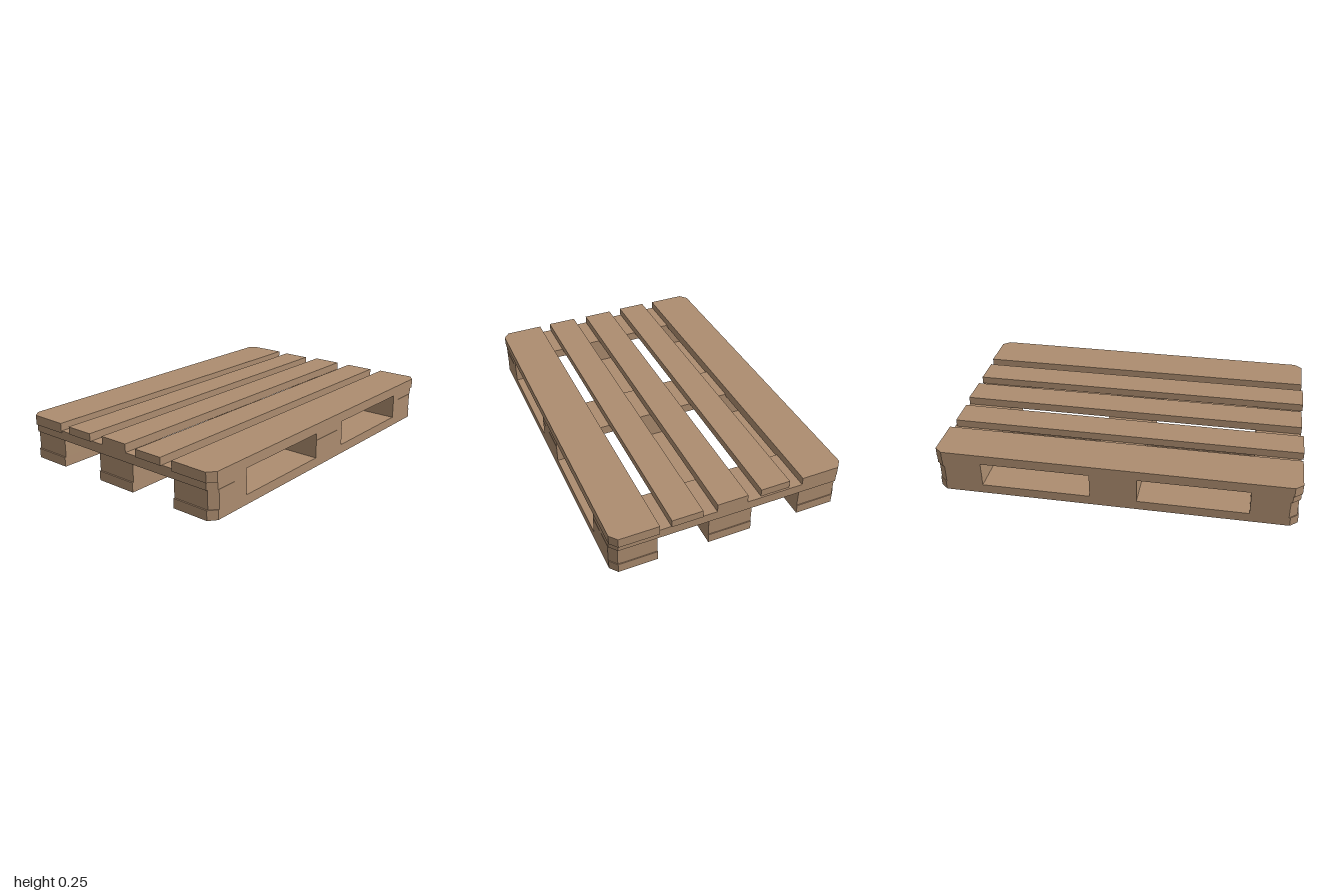
import * as THREE from 'three';

// Plank from a plan outline; corners at the pallet's outer corners are clipped.
function plank(name, [x0, x1], [y0, y1], [z0, z1], material) {
  const pts = [];
  const corners = [[x0, z1], [x1, z1], [x1, z0], [x0, z0]];
  corners.forEach(([x, z], i) => {
    if (Math.abs(x) > 0.9 && Math.abs(z) > 0.6) {
      const a = [x - Math.sign(x) * 0.042, z];
      const b = [x, z - Math.sign(z) * 0.035];
      pts.push(...(i % 2 ? [a, b] : [b, a]));
    } else pts.push([x, z]);
  });
  const shape = new THREE.Shape(pts.map(([x, z]) => new THREE.Vector2(x, -z)));
  const geo = new THREE.ExtrudeGeometry(shape, { depth: y1 - y0, bevelEnabled: false });
  geo.rotateX(-Math.PI / 2).translate(0, y0, 0);
  const mesh = new THREE.Mesh(geo, material);
  mesh.name = name;
  return mesh;
}

export function createModel() {
  const pallet = new THREE.Group();
  pallet.name = 'pallet';
  const wood = new THREE.MeshStandardMaterial({ color: 0xad8d70 });
  wood.name = 'wood';

  // Top deck boards, each cut to a slightly different length
  const deck = [
    [[-0.995, 0.985], [0.195, 0.25], [-0.66, -0.41]],
    [[-1.0, 0.975], [0.207, 0.25], [-0.337, -0.17]],
    [[-0.99, 0.985], [0.207, 0.253], [-0.088, 0.085]],
    [[-1.0, 0.99], [0.207, 0.25], [0.167, 0.338]],
    [[-0.995, 1.0], [0.195, 0.25], [0.407, 0.66]],
  ];
  deck.forEach((d, i) => pallet.add(plank(`deckBoard${i + 1}`, ...d, wood)));

  const columns = [[-0.99, -0.735], [-0.132, 0.125], [0.727, 0.985]];
  const rows = [[-0.655, -0.402], [-0.12, 0.126], [0.409, 0.658]];

  // Cross boards under the deck
  columns.forEach((x, i) =>
    pallet.add(plank(`crossBoard${i + 1}`, x, [0.155, 0.207], [-0.657, 0.657], wood)));

  // Bottom runners with three spacer blocks on each
  rows.forEach((z, r) => {
    pallet.add(plank(`bottomRunner${r + 1}`, [-0.99, 0.982], [0, 0.053], z, wood));
    columns.forEach(([a, b], c) => {
      const x = [c === 0 ? a + 0.008 : a, c === 2 ? b - 0.008 : b];
      pallet.add(plank(`spacerBlock${r + 1}${c + 1}`, x, [0.053, 0.155], z, wood));
    });
  });

  return pallet;
}
